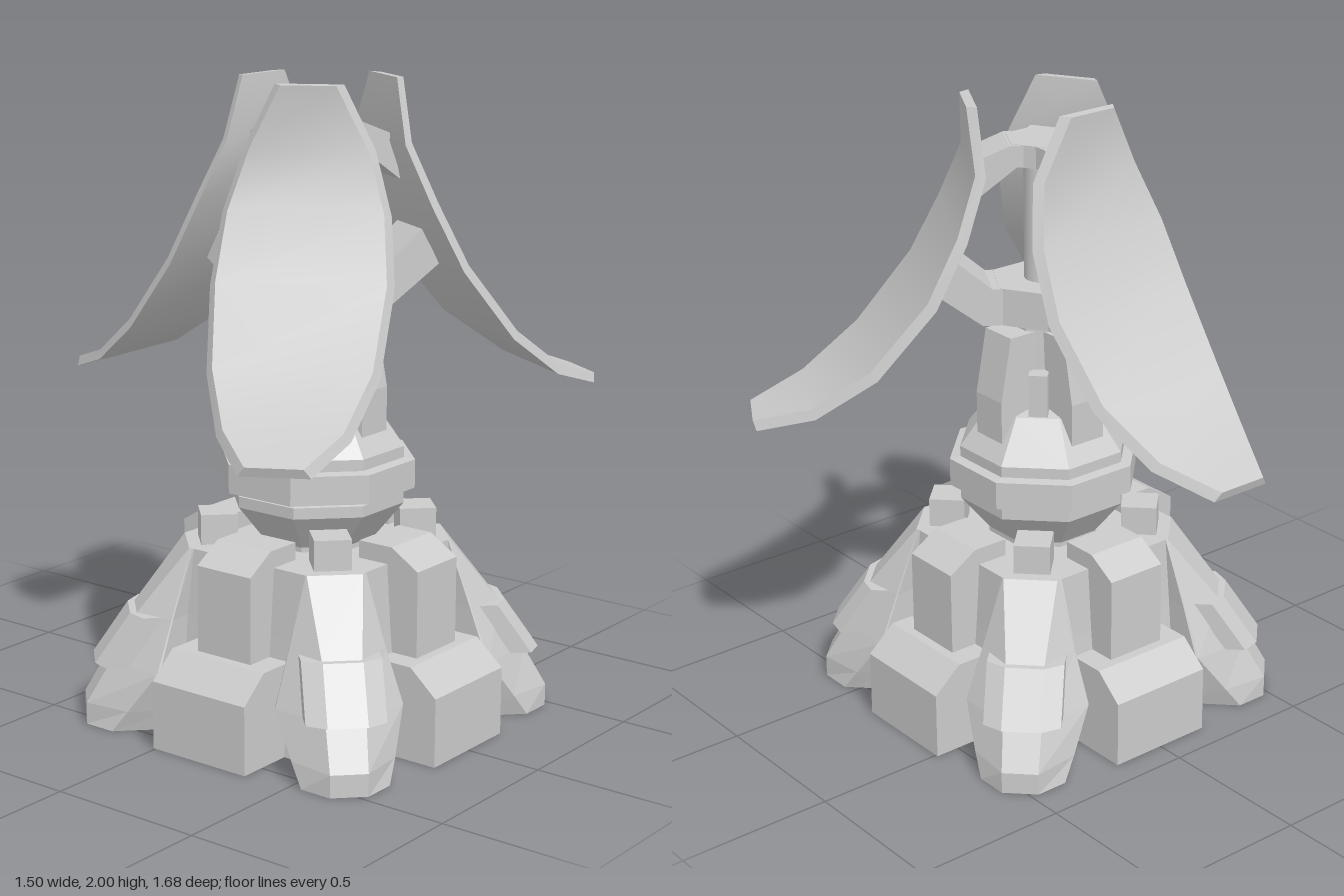
import * as THREE from 'three';
import { toCreasedNormals } from 'three/addons/utils/BufferGeometryUtils.js';

const flat = new THREE.MeshStandardMaterial({ color: 0xcccccc, flatShading: true, side: THREE.DoubleSide });
const smooth = new THREE.MeshStandardMaterial({ color: 0xcccccc });
const CARDINAL = [0, 1, 2, 3].map(k => k * Math.PI / 2);
const DIAGONAL = CARDINAL.map(a => a + Math.PI / 4);
const THIRDS = [1, 3, 5].map(k => k * Math.PI / 3);

// Skin a stack of equal-length loops, optionally closing either end
function loft(loops, { closed = true, start = true, end = true } = {}) {
  const n = loops[0].length, pos = loops.flat().flatMap(p => [p.x, p.y, p.z]), idx = [];
  for (let i = 0; i < loops.length - 1; i++)
    for (let j = 0; j < (closed ? n : n - 1); j++) {
      const a = i * n + j, b = i * n + (j + 1) % n;
      idx.push(a, b, b + n, a, b + n, a + n);
    }
  const e = (loops.length - 1) * n;
  for (let j = 1; j < n - 1; j++) {
    if (start) idx.push(0, j + 1, j);
    if (end) idx.push(e, e + j, e + j + 1);
  }
  const g = new THREE.BufferGeometry();
  g.setAttribute('position', new THREE.Float32BufferAttribute(pos, 3));
  g.setIndex(idx);
  g.computeVertexNormals();
  return g;
}

// A (radius, height) outline given a width, centred on the radial plane
function slab(points, width) {
  const shape = new THREE.Shape(points.map(p => new THREE.Vector2(...p)));
  return new THREE.ExtrudeGeometry(shape, { depth: width, bevelEnabled: false }).translate(0, 0, -width / 2);
}

// Point on a spoke at angle a: r outward, w sideways, y up
function spoke(a, r, w, y) {
  return new THREE.Vector3(r * Math.cos(a) - w * Math.sin(a), y, -r * Math.sin(a) - w * Math.cos(a));
}

export function createModel() {
  const model = new THREE.Group();
  const body = new THREE.Group();
  body.name = 'tower';
  body.position.x = 0.17;
  model.add(body);

  const add = (name, geo, mat = flat) => {
    const m = new THREE.Mesh(geo, mat);
    m.name = name;
    body.add(m);
    return m;
  };
  const around = (name, geo, angles, mat) => angles.forEach(a => { add(name, geo, mat).rotation.y = a; });
  const octagon = (name, profile) => add(name, new THREE.LatheGeometry(
    profile.map(([r, y]) => new THREE.Vector2(r / Math.cos(Math.PI / 8), y)), 8, Math.PI / 8));

  // Hollow base shell: per height, half a leg from core wall to inner edge, side ridge and tip
  const levels = [
    [0, [[0.39, 0.225], [0.41, 0.225], [0.555, 0.37], [0.555, 0.475]]],
    [0.07, [[0.385, 0.225], [0.44, 0.225], [0.538, 0.32], [0.555, 0.475]]],
    [0.2, [[0.375, 0.225], [0.495, 0.225], [0.5, 0.23], [0.505, 0.42]]],
    [0.36, [[0.36, 0.225], [0.43, 0.225], [0.433, 0.228], [0.445, 0.36]]],
    [0.57, [[0.345, 0.21], [0.345, 0.22], [0.346, 0.223], [0.347, 0.228]]]
  ];
  const shell = levels.map(([y, half]) => {
    const leg = [...half, ...half.map(([u, v]) => [v, u]).reverse()];
    return CARDINAL.flatMap(a => leg.map(([u, v]) => spoke(a, u, v, y)));
  });
  shell.push(shell[0].map(() => new THREE.Vector3(0, 0.57, 0)));
  add('baseShell', loft(shell, { start: false, end: false }));

  // Raised plate on each leg
  const plateLoop = (y, r) => [
    [r - 0.1, -0.12], [r - 0.035, -0.12], [r, -0.06], [r, 0.06], [r - 0.035, 0.12], [r - 0.1, 0.12]
  ].map(([u, w]) => spoke(0, u, w, y));
  around('legPlate', loft([plateLoop(0.2, 0.7), plateLoop(0.36, 0.59)]), DIAGONAL);

  // Small block on top of each leg
  around('legCap', new THREE.BoxGeometry(0.114, 0.105, 0.114).translate(0.31, 0.6125, 0), DIAGONAL);

  // Stepped armour blocks between the legs; the lower ones are open underneath
  const blockLoop = (y, r) => [[0.36, -0.178], [r, -0.178], [r, 0.178], [0.36, 0.178]].map(([u, w]) => spoke(0, u, w, y));
  around('lowerBlock', loft([blockLoop(0, 0.58), blockLoop(0.215, 0.58), blockLoop(0.295, 0.488)],
    { closed: false, start: false }), CARDINAL);
  around('upperBlock', slab([[0.335, 0.28], [0.457, 0.28], [0.457, 0.565], [0.36, 0.625], [0.24, 0.625],
    [0.24, 0.565], [0.335, 0.565]], 0.205), CARDINAL);

  // Octagonal turret
  octagon('neck', [[0.17, 0.56], [0.17, 0.585], [0.255, 0.7], [0.255, 0.735], [0.2, 0.75]]);
  octagon('turretRing', [[0.2, 0.75], [0.287, 0.75], [0.287, 0.84], [0.255, 0.845]]);
  octagon('turretDome', [[0.255, 0.84], [0.255, 0.88], [0.165, 1.01], [0.1, 1.03]]);
  octagon('mast', [[0.11, 1.0], [0.1, 1.31]]);
  around('mastFin', slab([[0.05, 0.88], [0.218, 0.88], [0.218, 1.07], [0.178, 1.275], [0.05, 1.275]], 0.126), CARDINAL);
  around('mastPost', new THREE.BoxGeometry(0.06, 0.27, 0.06).translate(0.13, 1.015, 0), DIAGONAL);

  // Hubs, their arms and the central column
  const hub = (r, y0, y1) => new THREE.CylinderGeometry(r, r, y1 - y0, 6)
    .rotateY(Math.PI / 3).translate(0, (y0 + y1) / 2, 0);
  add('lowerHub', hub(0.17, 1.3, 1.42));
  add('upperHub', hub(0.12, 1.8, 1.87));
  around('lowerArm', slab([[0, 1.301], [0.2, 1.301], [0.365, 1.425], [0.305, 1.535], [0.17, 1.419], [0, 1.419]], 0.18), THIRDS);
  around('upperArm', slab([[0, 1.801], [0.09, 1.801], [0.235, 1.69], [0.205, 1.83], [0.11, 1.869], [0, 1.869]], 0.16), THIRDS);
  add('column', toCreasedNormals(new THREE.CylinderGeometry(0.058, 0.058, 0.44, 20).translate(0, 1.6, 0), 0.6), smooth);

  // Three flaring petals with bevelled rims: radius, height, half width
  const stations = [
    [0.915, 1.02, 0.102], [0.74, 1.08, 0.19], [0.555, 1.215, 0.25], [0.375, 1.435, 0.27],
    [0.278, 1.63, 0.25], [0.213, 1.81, 0.195], [0.225, 1.999, 0.102]
  ];
  const petal = stations.map(([r, y, w], i) => {
    const p = stations[Math.max(i - 1, 0)], q = stations[Math.min(i + 1, stations.length - 1)];
    const t = new THREE.Vector2(q[0] - p[0], q[1] - p[1]).setLength(0.015);
    return [[1, 1], [1, -1], [-1, -1], [-1, 1]].map(([s, e]) =>
      new THREE.Vector3(r + s * t.y, y - s * t.x, e * (s > 0 ? w - 0.02 : w)));
  });
  around('petal', toCreasedNormals(loft(petal), 0.6), THIRDS, smooth);

  return model;
}
